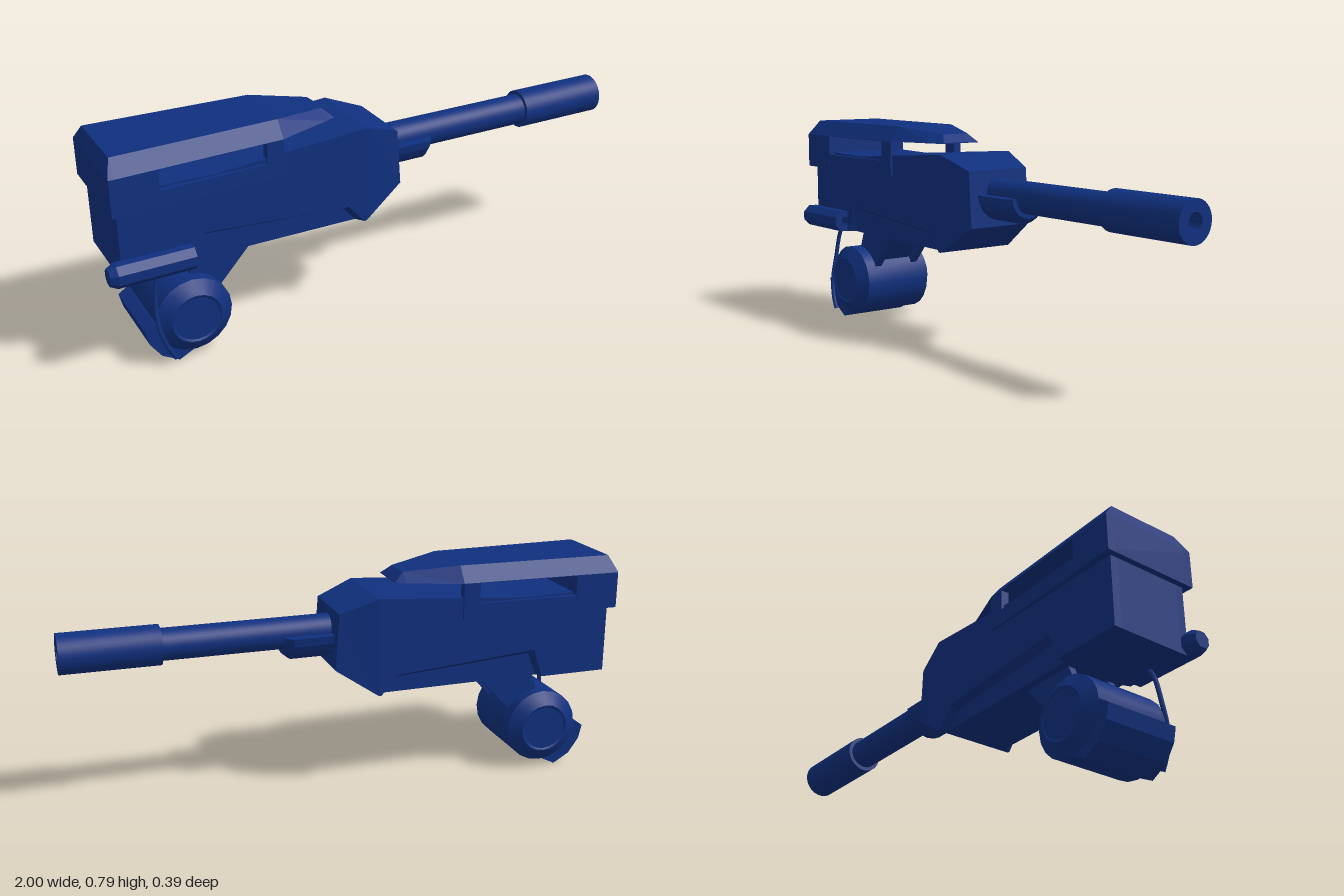
import * as THREE from 'three';
import { toCreasedNormals } from 'three/addons/utils/BufferGeometryUtils.js';

const paint = new THREE.MeshStandardMaterial({ color: 0x10307e });

// Solid through matching outlines. axis 'z': points are [x, y]; axis 'x': points are [y, z].
// Sections are [position along axis, outline], in rising order.
function loft(axis, sections) {
  const flip = THREE.ShapeUtils.area(sections[0][1].map(p => new THREE.Vector2(...p))) < 0;
  const rings = sections.map(([w, pts]) => {
    const list = flip ? [...pts].reverse() : pts;
    return list.map(([u, v]) => (axis === 'z' ? [u, v, w] : [w, u, v]));
  });
  const out = [];
  const n = rings[0].length;
  const cap = k => {
    const list = flip ? [...sections[k][1]].reverse() : sections[k][1];
    return THREE.ShapeUtils.triangulateShape(list.map(p => new THREE.Vector2(...p)), []);
  };
  for (const [a, b, c] of cap(0)) out.push(rings[0][c], rings[0][b], rings[0][a]);
  const last = rings.length - 1;
  for (const [a, b, c] of cap(last)) out.push(rings[last][a], rings[last][b], rings[last][c]);
  for (let k = 0; k < last; k++) {
    for (let i = 0; i < n; i++) {
      const j = (i + 1) % n;
      const [A, B, C, D] = [rings[k][i], rings[k][j], rings[k + 1][j], rings[k + 1][i]];
      out.push(A, B, C, A, C, D);
    }
  }
  const g = new THREE.BufferGeometry();
  g.setAttribute('position', new THREE.Float32BufferAttribute(out.flat(), 3));
  g.computeVertexNormals();
  return g;
}

const prism = (pts, z0, z1) => loft('z', [[z0, pts], [z1, pts]]);

// Turned part along x; profile points are [radius, x]
function turnedX(profile, sides, crease = 0.6) {
  const g = new THREE.LatheGeometry(profile.map(p => new THREE.Vector2(...p)), sides);
  g.rotateZ(-Math.PI / 2);
  return toCreasedNormals(g, crease);
}

export function createModel() {
  const model = new THREE.Group();
  const core = new THREE.Group();
  core.name = 'weapon';
  core.position.z = -0.006;
  model.add(core);
  const add = (name, geometry, parent = core) => {
    const m = new THREE.Mesh(geometry, paint);
    m.name = name;
    parent.add(m);
    return m;
  };

  // Receiver: central slab plus side slabs with a sloped lower recess
  const top = [[-0.07, 0.355], [-0.07, 0.705], [-0.34, 0.685], [-0.6, 0.665], [-0.95, 0.67]];
  const inner = 0.125, outer = 0.154;
  add('receiverCore', prism([[-0.95, 0.36], ...top], -inner, inner));
  const recessOut = [[-0.95, 0.36], [-0.7, 0.36], [-0.665, 0.465], [-0.14, 0.425], [-0.08, 0.355], ...top];
  const recessIn = [[-0.95, 0.36], [-0.69, 0.36], [-0.655, 0.445], [-0.15, 0.41], [-0.1, 0.355], ...top];
  add('receiverSideLeft', loft('z', [[inner, recessIn], [outer, recessOut]]));
  add('receiverSideRight', loft('z', [[-outer, recessOut], [-inner, recessIn]]));

  // Tapered nose, its lower edge reaching a little further forward
  const rect = (y0, y1, h) => [[y0, -h], [y1, -h], [y1, h], [y0, h]];
  const nose = loft('x', [[-0.07, rect(0.355, 0.705, outer)], [0.065, rect(0.455, 0.655, 0.127)]]);
  const np = nose.attributes.position;
  for (let i = 0; i < np.count; i++) {
    if (np.getX(i) > 0 && np.getY(i) < 0.5) np.setX(i, 0.08);
  }
  nose.computeVertexNormals();
  add('nose', nose);

  // Top cover roof, narrowing to the front: [x, lower half width, upper half width, top]
  const roof = [
    [-0.97, 0.181, 0.178, 0.738], [-0.95, 0.181, 0.137, 0.79], [-0.38, 0.161, 0.118, 0.79],
    [-0.19, 0.095, 0.055, 0.767], [-0.155, 0.08, 0.075, 0.738],
  ].map(([x, b, t, y]) => [x, [[0.735, -b], [y, -t], [y, t], [0.735, b]]]);
  add('coverRoof', loft('x', roof));
  add('coverRear', loft('x', [
    [-0.97, rect(0.605, 0.735, 0.181)], [-0.81, rect(0.605, 0.735, 0.176)],
  ]));

  // Cover sides with a long window, leaning in with the roof
  const panel = new THREE.Shape([[-0.97, 0.605], [-0.38, 0.605], [-0.38, 0.735], [-0.97, 0.735]]
    .map(p => new THREE.Vector2(...p)));
  panel.holes.push(new THREE.Path([[-0.81, 0.66], [-0.81, 0.733], [-0.44, 0.733], [-0.44, 0.66]]
    .map(p => new THREE.Vector2(...p))));
  for (const side of [1, -1]) {
    const g = new THREE.ExtrudeGeometry(panel, { depth: 0.03, bevelEnabled: false });
    g.translate(0, 0, -0.015);
    const p = g.attributes.position;
    for (let i = 0; i < p.count; i++) {
      const half = 0.181 - 0.02 * (p.getX(i) + 0.97) / 0.59;
      p.setZ(i, p.getZ(i) + side * (half - 0.015));
    }
    g.computeVertexNormals();
    add(side > 0 ? 'coverSideLeft' : 'coverSideRight', g);
  }

  // Barrel with muzzle sleeve and bore
  add('barrel', turnedX([
    [0, 0], [0.056, 0], [0.056, 0.66], [0.07, 0.66], [0.07, 1], [0.03, 1], [0.03, 0.88], [0, 0.88],
  ], 32)).position.y = 0.57;

  // Half-round cradle under the barrel with a chamfered front
  const cradle = (r, y) => {
    const pts = [];
    for (let i = 0; i <= 10; i++) {
      const a = Math.PI * (1 + i / 10);
      pts.push([y + r * Math.sin(a), r * Math.cos(a)]);
    }
    return pts;
  };
  add('barrelCradle', loft('x', [
    [0.05, cradle(0.093, 0.57)], [0.215, cradle(0.093, 0.57)], [0.24, cradle(0.072, 0.57)],
  ]));

  // Arm: two rails and a plate between them
  const rail = [[-0.66, 0.42], [-0.44, 0.4], [-0.6, 0.225], [-0.73, 0.24]];
  add('armRailLeft', prism(rail, 0.07, 0.097));
  add('armRailRight', prism(rail, -0.097, -0.07));
  add('armPlate', prism([[-0.63, 0.4], [-0.49, 0.385], [-0.62, 0.24], [-0.71, 0.25]], -0.07, 0.07));

  // Drum with chamfered ends and shallow end discs
  const drum = new THREE.LatheGeometry([
    [0, -0.166], [0.08, -0.166], [0.086, -0.17], [0.09, -0.17], [0.135, -0.138],
    [0.135, 0.138], [0.09, 0.17], [0.086, 0.17], [0.08, 0.166], [0, 0.166],
  ].map(p => new THREE.Vector2(...p)), 20);
  drum.rotateX(Math.PI / 2);
  add('drum', toCreasedNormals(drum, 0.45)).position.set(-0.717, 0.16, 0);

  // Bracket wrapped round the lower rear of the drum
  add('drumBracket', prism([
    [-0.89, 0.14], [-0.855, 0.165], [-0.78, 0.17], [-0.71, 0.1], [-0.72, 0.03],
    [-0.78, 0], [-0.84, 0.035], [-0.878, 0.09],
  ], -0.138, 0.138));

  // Side tube on the left of the receiver
  const sideTube = add('sideTube', turnedX([
    [0, -1], [0.03, -1], [0.043, -0.975], [0.043, -0.715], [0.018, -0.715], [0.018, -0.76], [0, -0.76],
  ], 8, 0.3), model);
  sideTube.rotation.x = Math.PI / 8;
  sideTube.position.set(0, 0.4, 0.161);

  // Cable from the receiver down to the bracket
  const path = new THREE.CatmullRomCurve3([
    [-0.8, 0.38, 0.118], [-0.83, 0.33, 0.119], [-0.845, 0.24, 0.128],
    [-0.845, 0.15, 0.145], [-0.825, 0.08, 0.155], [-0.8, 0.03, 0.158],
  ].map(p => new THREE.Vector3(...p)));
  add('cable', new THREE.TubeGeometry(path, 24, 0.008, 8), model);

  return model;
}
